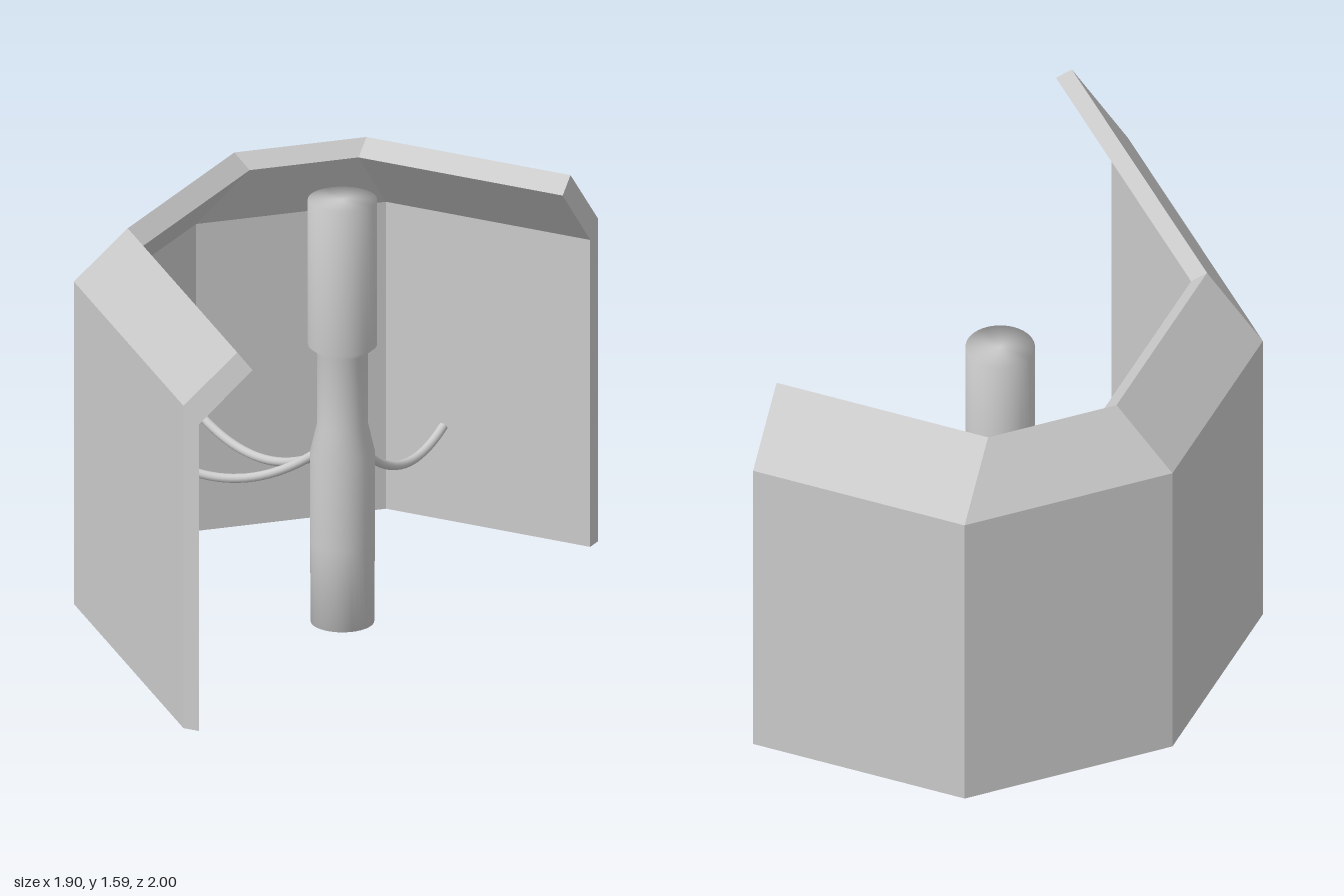
import * as THREE from 'three';

const material = new THREE.MeshStandardMaterial({ color: 0xcccccc });

// Folded wall: a wall-and-lip profile swept along the plan corners
function makeWall() {
  // plan corners: x, z and the x direction of the inset
  const corners = [
    [-0.955, 0.805, 1], [-0.955, -0.43, 1], [-0.385, -1, 1],
    [0.39, -1, -1], [0.95, -0.44, -1],
  ];
  // profile: inset and height, from the outer foot over the lip to the inner foot
  const profile = [
    [0, 0.155], [0, 1.35], [0.148, 1.585], [0.19, 1.53], [0.043, 1.293], [0.043, 0.155],
  ];
  const rings = corners.map(([x, z, s]) => profile.map(([d, y]) => [x + s * d, y, z + d]));
  const positions = [];
  const quad = (a, b, c, d) => positions.push(...a, ...b, ...c, ...a, ...c, ...d);

  for (let i = 0; i < rings.length - 1; i++) {
    const a = rings[i], b = rings[i + 1];
    for (let k = 0; k < profile.length; k++) {
      const n = (k + 1) % profile.length;
      quad(a[k], a[n], b[n], b[k]);
    }
  }
  // end caps
  const s = rings[0], e = rings[rings.length - 1];
  quad(s[0], s[5], s[4], s[1]);
  quad(s[1], s[4], s[3], s[2]);
  quad(e[0], e[1], e[4], e[5]);
  quad(e[1], e[2], e[3], e[4]);

  const geometry = new THREE.BufferGeometry();
  geometry.setAttribute('position', new THREE.Float32BufferAttribute(positions, 3));
  geometry.computeVertexNormals();
  const mesh = new THREE.Mesh(geometry, material);
  mesh.name = 'foldedWall';
  return mesh;
}

// Turned post with a narrow waist
function makePost() {
  const profile = [
    [0, 0], [0.11, 0], [0.112, 0.3], [0.112, 0.63], [0.088, 0.735],
    [0.088, 1.0], [0.12, 1.027], [0.12, 1.563], [0, 1.563],
  ].map(([r, y]) => new THREE.Vector2(r, y));
  const mesh = new THREE.Mesh(new THREE.LatheGeometry(profile, 40), material);
  mesh.position.z = -0.37;
  mesh.name = 'post';
  return mesh;
}

// Sagging rod from the post towards the wall, closed at its tip
function makeRod(start, tip, low) {
  const radius = 0.016;
  const a = new THREE.Vector3(...start), b = new THREE.Vector3(...tip);
  const control = a.clone().add(b).multiplyScalar(0.5);
  control.y = 2 * low - control.y;
  const curve = new THREE.QuadraticBezierCurve3(a, control, b);
  const group = new THREE.Group();
  group.name = 'rod';
  const tube = new THREE.Mesh(new THREE.TubeGeometry(curve, 24, radius, 12), material);
  tube.name = 'rodTube';
  const cap = new THREE.Mesh(new THREE.CircleGeometry(radius, 12), material);
  cap.name = 'rodTip';
  cap.position.copy(b);
  cap.quaternion.setFromUnitVectors(new THREE.Vector3(0, 0, 1), curve.getTangent(1));
  group.add(tube, cap);
  return group;
}

export function createModel() {
  const model = new THREE.Group();
  model.name = 'postWithFoldedWall';
  model.add(makeWall(), makePost());

  // start, tip and sag height of each rod
  const rods = [
    [[-0.07, 0.63, -0.4], [-0.58, 0.57, -0.7], 0.5],
    [[-0.04, 0.61, -0.43], [-0.315, 0.57, -0.955], 0.5],
    [[0.03, 0.61, -0.42], [0.19, 0.56, -0.9], 0.49],
    [[0.06, 0.64, -0.41], [0.49, 0.52, -0.755], 0.465],
  ];
  for (const [start, tip, low] of rods) model.add(makeRod(start, tip, low));
  return model;
}
